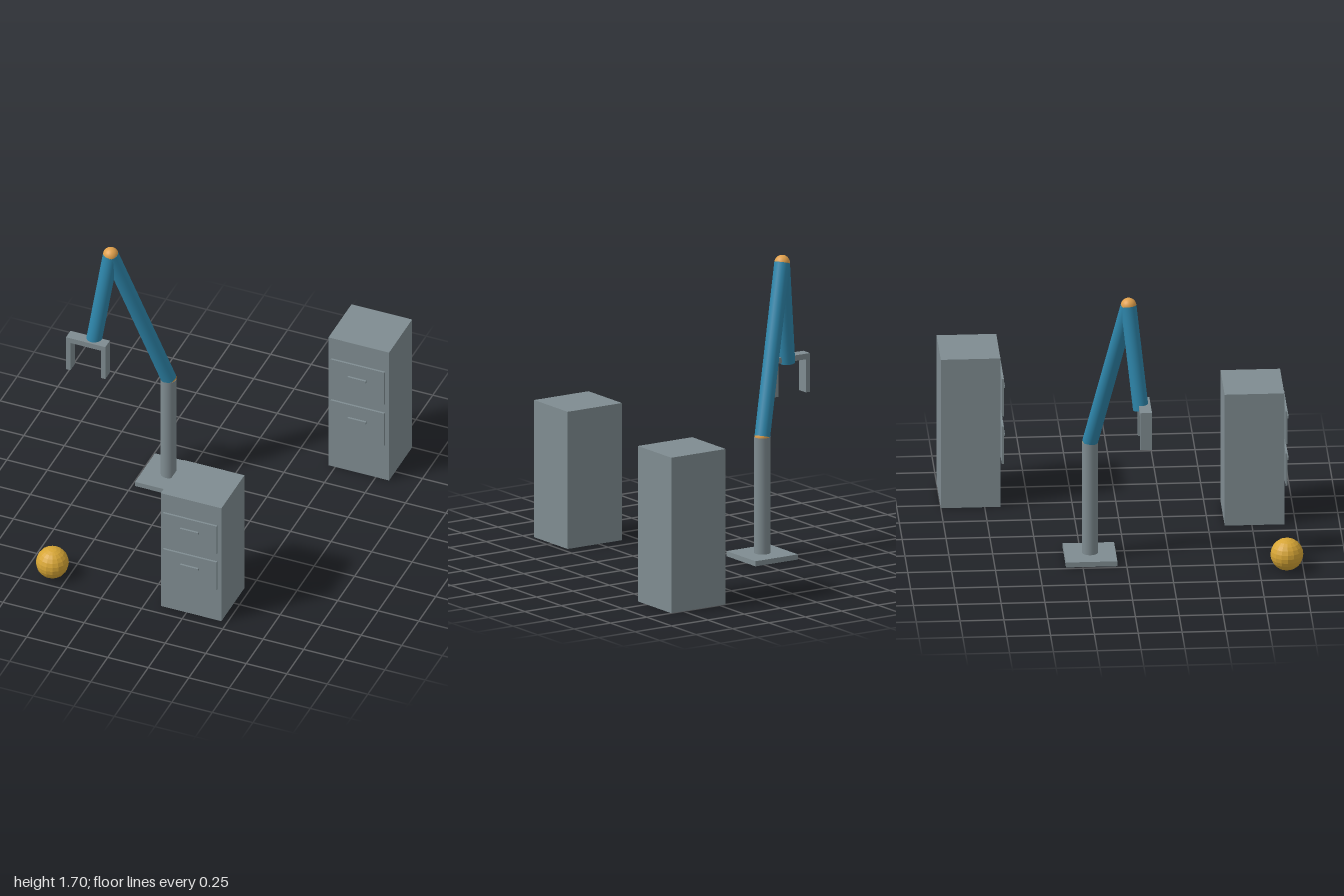
import * as THREE from 'three';

export function createModel() {
  const model = new THREE.Group();
  model.name = 'robotWorkcell';

  const mat = (name, color, flatShading = false) => {
    const m = new THREE.MeshStandardMaterial({ color, flatShading });
    m.name = name;
    return m;
  };
  const grey = mat('grey', 0x7f8c91);
  const blue = mat('blue', 0x2e86ab);
  const orange = mat('orange', 0xe0a04c);
  const gold = mat('gold', 0xd6a535, true);

  const add = (parent, name, geometry, material, x = 0, y = 0, z = 0) => {
    const mesh = new THREE.Mesh(geometry, material);
    mesh.name = name;
    mesh.position.set(x, y, z);
    parent.add(mesh);
    return mesh;
  };
  const box = (parent, name, w, h, d, x, y, z) =>
    add(parent, name, new THREE.BoxGeometry(w, h, d), grey, x, y, z);

  // Cylinder running between two points
  const rod = (parent, name, a, b, radius, material) => {
    const dir = b.clone().sub(a);
    const mesh = add(parent, name, new THREE.CylinderGeometry(radius, radius, dir.length(), 24), material);
    mesh.position.copy(a).add(b).multiplyScalar(0.5);
    mesh.quaternion.setFromUnitVectors(new THREE.Vector3(0, 1, 0), dir.normalize());
  };

  // Cabinet with two drawers floating just ahead of its front face
  const cabinet = (name, x, z, height, drawerHeight, drawerYs) => {
    const g = new THREE.Group();
    g.name = name;
    g.position.set(x, 0, z);
    box(g, 'cabinetBody', 0.374, height, 0.34, 0, height / 2, 0);
    for (const y of drawerYs) {
      box(g, 'drawerFront', 0.331, drawerHeight, 0.012, 0, y, 0.185);
      box(g, 'drawerHandle', 0.112, 0.015, 0.012, 0, y + 0.021, 0.197);
    }
    model.add(g);
  };
  cabinet('frontCabinet', 0.278, 0.765, 0.804, 0.199, [0.583, 0.327]);
  cabinet('rearCabinet', 0.645, -0.83, 0.911, 0.229, [0.661, 0.369]);

  // Robot arm: base, column, two links and their ball joints
  const arm = new THREE.Group();
  arm.name = 'robotArm';
  model.add(arm);
  const foot = new THREE.Vector3(-0.335, 0.02, -0.2);
  const shoulder = new THREE.Vector3(-0.335, 0.71, -0.2);
  const elbow = new THREE.Vector3(-0.608, 1.651, 0.002);
  const wrist = new THREE.Vector3(-0.688, 1.044, 0.067);
  box(arm, 'basePlate', 0.293, 0.03, 0.293, -0.335, 0.015, -0.2);
  rod(arm, 'column', foot, shoulder, 0.046, grey);
  rod(arm, 'upperArm', shoulder, elbow, 0.045, blue);
  rod(arm, 'forearm', elbow, wrist, 0.045, blue);
  for (const [name, p] of [['shoulderJoint', shoulder], ['elbowJoint', elbow]]) {
    add(arm, name, new THREE.SphereGeometry(0.045, 24, 16), orange, p.x, p.y, p.z);
  }

  // Gripper: crossbar with two hanging fingers
  const gripper = new THREE.Group();
  gripper.name = 'gripper';
  gripper.position.set(-0.713, 0, 0.088);
  arm.add(gripper);
  box(gripper, 'gripperPalm', 0.243, 0.033, 0.067, 0, 1.063, 0);
  for (const side of [-1, 1]) {
    box(gripper, 'gripperFinger', 0.028, 0.195, 0.067, side * 0.1075, 0.95, 0);
  }

  // Ball lying on the ground
  add(model, 'ball', new THREE.SphereGeometry(0.094, 16, 12), gold, -0.59, 0.094, 0.906);

  return model;
}
